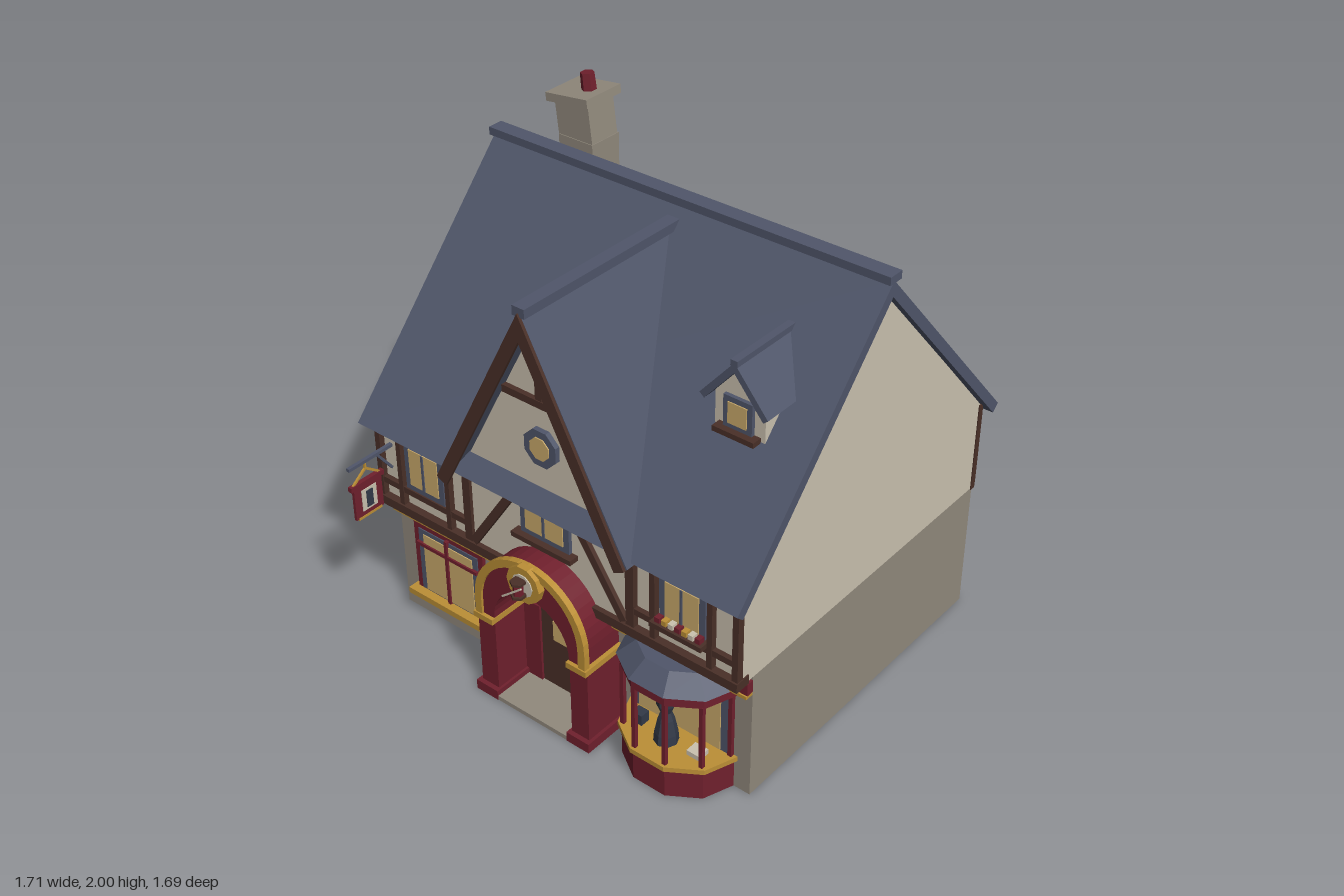
import * as THREE from 'three';

const mat = (name, color) => Object.assign(new THREE.MeshStandardMaterial({ color }), { name });
const slate = mat('slate', 0x50566a), cream = mat('plaster', 0xcbc2b0), stone = mat('stone', 0x928a7d),
  timber = mat('timber', 0x4a3028), maroon = mat('maroon', 0x70202d), gold = mat('gold', 0xbc8f36),
  glass = mat('litGlass', 0xcbab6c), dark = mat('darkCloth', 0x333a48);
stone.side = THREE.DoubleSide;

export function createModel() {
  const root = new THREE.Group();
  root.name = 'timberedShop';
  let target = root;

  const add = (name, geo, m) => {
    const g = geo.index ? geo.toNonIndexed() : geo;
    g.computeVertexNormals();
    const mesh = new THREE.Mesh(g, m);
    mesh.name = name;
    target.add(mesh);
    return mesh;
  };
  // Box given by its limits on each axis
  const box = (name, m, x0, x1, y0, y1, z0, z1) => {
    const mesh = add(name, new THREE.BoxGeometry(x1 - x0, y1 - y0, z1 - z0), m);
    mesh.position.set((x0 + x1) / 2, (y0 + y1) / 2, (z0 + z1) / 2);
    return mesh;
  };
  // Bar between two points
  const bar = (name, m, a, b, w, d) => {
    const p = new THREE.Vector3(...a), q = new THREE.Vector3(...b);
    const mesh = add(name, new THREE.BoxGeometry(w, p.distanceTo(q), d), m);
    mesh.position.copy(p).lerp(q, 0.5);
    mesh.quaternion.setFromUnitVectors(new THREE.Vector3(0, 1, 0), q.sub(p).normalize());
    return mesh;
  };
  const poly = pts => new THREE.Shape(pts.map(p => new THREE.Vector2(...p)));
  const extrude = (shape, z0, z1) =>
    new THREE.ExtrudeGeometry(shape, { depth: z1 - z0, bevelEnabled: false, curveSegments: 10 }).translate(0, 0, z0);
  // Inverted V used for roofs and bargeboards
  const chevron = (w, top, eave, t) => {
    const L = Math.hypot(w, top - eave), ix = w - t * (top - eave) / L, iy = eave - t * w / L;
    return poly([[-w, eave], [-ix, iy], [0, top - t * L / w], [ix, iy], [w, eave], [0, top]]);
  };
  const disc = (name, m, r, x, y, z0, z1, sides = 8) => {
    const g = new THREE.CylinderGeometry(r, r, z1 - z0, sides).rotateY(Math.PI / sides).rotateX(Math.PI / 2);
    return add(name, g.translate(x, y, (z0 + z1) / 2), m);
  };
  // Framed window with glazing bars and an optional sill
  const windowAt = (name, x, y, z, w, h, { cols = 2, sill = true, back = false, frame = 0.025 } = {}) => {
    const g = new THREE.Group(), old = target;
    g.name = name;
    target.add(g);
    target = g;
    box('frame', slate, -w / 2, w / 2, 0, h, -0.01, 0.015);
    box('pane', glass, -w / 2 + frame, w / 2 - frame, frame, h - frame, 0.012, 0.019);
    for (let i = 1; i < cols; i++) {
      const cx = -w / 2 + w * i / cols;
      box('glazingBar', slate, cx - 0.005, cx + 0.005, frame, h - frame, 0.014, 0.023);
    }
    if (sill) box('sill', timber, -w / 2 - 0.025, w / 2 + 0.025, -0.018, 0.002, -0.01, 0.04);
    g.position.set(x, y, z);
    if (back) g.rotation.y = Math.PI;
    target = old;
  };

  // Ground floor, open underneath
  const ground = new THREE.BoxGeometry(1.64, 0.53, 1.34);
  ground.setIndex([...ground.index.array].filter((_, i) => i < 18 || i >= 24));
  ground.clearGroups();
  add('groundFloor', ground.translate(0, 0.265, -0.1), stone);

  // Upper floor with gable ends, and the main roof
  const alongX = (shape, half) => extrude(shape, -half, half).rotateY(-Math.PI / 2);
  add('upperFloor', alongX(poly([[-0.77, 0.53], [0.635, 0.53], [0.635, 0.9], [-0.07, 1.68], [-0.77, 0.9]]), 0.82), cream);
  add('mainRoof', alongX(chevron(0.775, 1.735, 0.88, 0.04), 0.85), slate).position.z = -0.07;
  box('ridgeCap', slate, -0.855, 0.855, 1.73, 1.76, -0.103, -0.04);

  // Front gable
  add('gableWall', extrude(poly([[-0.36, 0.53], [0.36, 0.53], [0.36, 0.92], [0, 1.61], [-0.36, 0.92]]), 0.3, 0.645), cream);
  add('gableRoof', extrude(chevron(0.425, 1.67, 0.87, 0.03), -0.02, 0.73), slate);
  add('bargeboards', extrude(chevron(0.42, 1.67, 0.865, 0.048), 0.73, 0.742), timber);
  box('gableRidge', slate, -0.026, 0.026, 1.655, 1.69, -0.03, 0.735);
  box('collarBeam', timber, -0.36, 0.36, 0.89, 0.922, 0.64, 0.665);
  box('upperCollar', timber, -0.16, 0.16, 1.28, 1.308, 0.64, 0.665);
  box('kingPost', timber, -0.014, 0.014, 1.3, 1.58, 0.64, 0.662);
  disc('roundWindowFrame', slate, 0.075, 0, 1.12, 0.64, 0.665);
  disc('roundWindowPane', glass, 0.045, 0, 1.12, 0.66, 0.669);
  windowAt('gableWindow', 0, 0.73, 0.645, 0.22, 0.155);

  // Front timber framing, mirrored
  box('jettyBeam', timber, -0.825, 0.825, 0.525, 0.562, 0.6, 0.665);
  for (const s of [-1, 1]) {
    for (const [x, w] of [[0.81, 0.024], [0.705, 0.022], [0.467, 0.022], [0.37, 0.035]])
      box('post', timber, s * x - w / 2, s * x + w / 2, 0.55, 0.89, 0.63, 0.658);
    box('rail', timber, Math.min(s * 0.82, s * 0.37), Math.max(s * 0.82, s * 0.37), 0.617, 0.642, 0.63, 0.655);
    bar('brace', timber, [s * 0.345, 0.57, 0.65], [s * 0.135, 0.885, 0.65], 0.032, 0.024);
    windowAt('upperWindow', s * 0.587, 0.643, 0.635, 0.19, 0.205, { sill: false });
    // Rear upper window and corner post
    windowAt('rearWindow', s * 0.41, 0.645, -0.77, 0.18, 0.18, { back: true });
    box('rearPost', timber, s * 0.81 - 0.014, s * 0.81 + 0.014, 0.55, 0.9, -0.785, -0.76);
  }
  box('rearPost', timber, -0.016, 0.016, 0.55, 0.9, -0.785, -0.76);
  box('rearBeam', timber, -0.823, 0.823, 0.525, 0.56, -0.785, -0.76);
  box('flowerBox', timber, 0.48, 0.695, 0.642, 0.662, 0.64, 0.69);
  for (let i = 0; i < 7; i++)
    box('flower', [maroon, gold, cream][i % 3], 0.495 + i * 0.028, 0.515 + i * 0.028, 0.66, 0.682, 0.655, 0.68);

  // Rear door and step
  box('rearDoor', timber, 0.29, 0.49, 0, 0.355, -0.782, -0.76);
  box('rearLintel', timber, 0.28, 0.5, 0.345, 0.365, -0.786, -0.76);
  box('rearStep', stone, 0.26, 0.52, 0, 0.015, -0.845, -0.77);

  // Shop fascia
  box('fascia', maroon, -0.82, 0.82, 0.465, 0.515, 0.56, 0.6);
  box('fasciaTrim', gold, -0.82, 0.82, 0.453, 0.466, 0.56, 0.606);

  // Left display window
  box('displaySurround', maroon, -0.738, -0.388, 0.12, 0.435, 0.56, 0.585);
  box('displayFrame', slate, -0.712, -0.412, 0.13, 0.41, 0.58, 0.589);
  box('displayPane', glass, -0.685, -0.438, 0.137, 0.392, 0.585, 0.593);
  box('displayMullion', maroon, -0.57, -0.556, 0.13, 0.42, 0.585, 0.6);
  box('displayTransom', maroon, -0.715, -0.41, 0.34, 0.354, 0.585, 0.6);
  box('displaySill', gold, -0.757, -0.37, 0.1, 0.125, 0.56, 0.62);

  // Porch
  const stilted = (r, cy, y0) => {
    const s = new THREE.Shape();
    s.moveTo(-r, y0);
    s.lineTo(r, y0);
    s.lineTo(r, cy);
    s.absarc(0, cy, r, 0, Math.PI, false);
    s.closePath();
    return s;
  };
  const ring = (R, cy, r, c2, y0) => {
    const s = new THREE.Shape();
    s.moveTo(R, y0);
    s.lineTo(R, cy);
    s.absarc(0, cy, R, 0, Math.PI, false);
    s.lineTo(-R, y0);
    s.lineTo(-r, y0);
    s.lineTo(-r, c2);
    s.absarc(0, c2, r, Math.PI, 0, true);
    s.lineTo(r, y0);
    s.closePath();
    return s;
  };
  add('porchArch', extrude(ring(0.245, 0.435, 0.175, 0.37, 0.36), 0.57, 0.75), maroon);
  add('archTrim', extrude(ring(0.255, 0.435, 0.224, 0.435, 0.36), 0.735, 0.76), gold);
  box('porchFloor', stone, -0.2, 0.2, 0, 0.018, 0.56, 0.765);
  for (const s of [-1, 1]) {
    const side = (name, m, a, b, ...r) => box(name, m, Math.min(s * a, s * b), Math.max(s * a, s * b), ...r);
    side('pillar', maroon, 0.175, 0.255, 0, 0.345, 0.57, 0.748);
    side('plinth', maroon, 0.165, 0.268, 0, 0.04, 0.57, 0.767);
    side('capital', gold, 0.172, 0.262, 0.342, 0.366, 0.57, 0.765);
    side('doorJamb', maroon, 0.1, 0.18, 0, 0.36, 0.56, 0.6);
  }
  box('frontDoor', timber, -0.105, 0.105, 0.015, 0.365, 0.56, 0.59);
  box('doorPane', glass, -0.043, 0.043, 0.233, 0.32, 0.585, 0.594);
  disc('doorKnob', gold, 0.01, 0.072, 0.18, 0.59, 0.61, 6);
  add('fanlightFrame', extrude(stilted(0.175, 0.365, 0.36), 0.56, 0.58), slate);
  add('fanlightPane', extrude(stilted(0.135, 0.37, 0.368), 0.575, 0.584), glass);

  // Medallion with spool and needle
  disc('medallionRim', gold, 0.075, 0, 0.62, 0.75, 0.778, 10);
  disc('medallionFace', cream, 0.046, 0, 0.62, 0.775, 0.782, 10);
  const spool = (x, y, z, k) => {
    const cyl = (name, m, r, h, dy) =>
      add(name, new THREE.CylinderGeometry(r * k, r * k, h * k, 6).translate(x, y + dy * k, z), m);
    cyl('spoolThread', maroon, 0.019, 0.05, 0);
    cyl('spoolTop', timber, 0.028, 0.01, 0.028);
    cyl('spoolBase', timber, 0.028, 0.01, -0.028);
  };
  spool(0, 0.62, 0.8, 1);
  bar('needle', cream, [-0.045, 0.585, 0.832], [0.045, 0.66, 0.832], 0.006, 0.006);

  // Bay window: half of a flattened ten-sided drum
  const bay = (name, m, r0, r1, y0, y1) => add(name,
    new THREE.CylinderGeometry(r1, r0, y1 - y0, 5, 1, false, -Math.PI / 2, Math.PI)
      .scale(1, 1, 0.88).translate(0.53, (y0 + y1) / 2, 0.57), m);
  bay('bayBase', maroon, 0.222, 0.222, 0, 0.125);
  bay('baySill', gold, 0.236, 0.236, 0.122, 0.142);
  bay('bayCornice', maroon, 0.226, 0.226, 0.41, 0.452);
  bay('bayRoof', slate, 0.238, 0.165, 0.452, 0.516);
  box('bayBackFrame', slate, 0.31, 0.745, 0.14, 0.412, 0.565, 0.58);
  box('bayBackPane', glass, 0.345, 0.7, 0.145, 0.408, 0.575, 0.584);
  for (let i = 0; i <= 5; i++) {
    const a = Math.PI * i / 5, x = 0.53 + 0.212 * Math.cos(a), z = 0.578 + 0.18 * Math.sin(a);
    box('bayMullion', maroon, x - 0.008, x + 0.008, 0.14, 0.412, z - 0.008, z + 0.008);
  }
  const form = [[0, 0], [0.045, 0], [0.042, 0.04], [0.03, 0.1], [0.02, 0.13], [0.034, 0.165], [0.036, 0.19], [0.012, 0.21], [0.012, 0.23], [0, 0.235]];
  add('dressForm', new THREE.LatheGeometry(form.map(p => new THREE.Vector2(...p)), 8).translate(0.525, 0.14, 0.655), dark);
  box('clothStack', dark, 0.375, 0.42, 0.14, 0.185, 0.62, 0.66);
  box('foldedLinen', cream, 0.625, 0.68, 0.14, 0.162, 0.62, 0.67);

  // Hanging sign
  box('signArm', slate, -0.772, -0.758, 0.78, 0.793, 0.63, 0.845);
  bar('signBrace', slate, [-0.765, 0.69, 0.64], [-0.765, 0.785, 0.71], 0.01, 0.01);
  box('signBoard', maroon, -0.771, -0.759, 0.56, 0.7, 0.7, 0.832);
  box('signCap', maroon, -0.774, -0.756, 0.69, 0.71, 0.688, 0.845);
  box('signTrim', gold, -0.773, -0.757, 0.555, 0.565, 0.71, 0.822);
  box('signFace', cream, -0.774, -0.756, 0.585, 0.675, 0.73, 0.8);
  box('signMotif', dark, -0.777, -0.753, 0.595, 0.665, 0.75, 0.78);
  for (const z of [0.7, 0.832]) bar('signHanger', gold, [-0.765, 0.705, z], [-0.765, 0.755, 0.766], 0.008, 0.008);
  box('signHook', gold, -0.769, -0.761, 0.75, 0.785, 0.762, 0.77);

  // Small roof dormer
  target = new THREE.Group();
  target.name = 'dormer';
  target.position.x = 0.58;
  root.add(target);
  add('dormerWall', extrude(poly([[-0.1, 1.26], [0.1, 1.26], [0.1, 1.4], [0, 1.515], [-0.1, 1.4]]), 0.05, 0.352), cream);
  add('dormerRoof', extrude(chevron(0.135, 1.55, 1.39, 0.024), 0.05, 0.39), slate);
  box('dormerRidge', slate, -0.014, 0.014, 1.538, 1.56, 0.08, 0.392);
  windowAt('dormerWindow', 0, 1.283, 0.352, 0.115, 0.12, { cols: 1, frame: 0.02 });

  // Chimney: straight base, leaning top
  target = root;
  box('chimneyBase', stone, -0.61, -0.455, 1.35, 1.77, -0.283, -0.14);
  target = new THREE.Group();
  target.name = 'leaningChimney';
  target.position.set(-0.533, 1.755, -0.21);
  target.rotation.z = 0.12;
  root.add(target);
  box('chimneyStack', stone, -0.077, 0.077, 0, 0.155, -0.067, 0.067);
  box('chimneyCap', stone, -0.096, 0.096, 0.15, 0.182, -0.09, 0.09);
  add('chimneyPot', new THREE.CylinderGeometry(0.026, 0.028, 0.07, 6).translate(0.03, 0.21, 0), maroon);

  return root;
}
